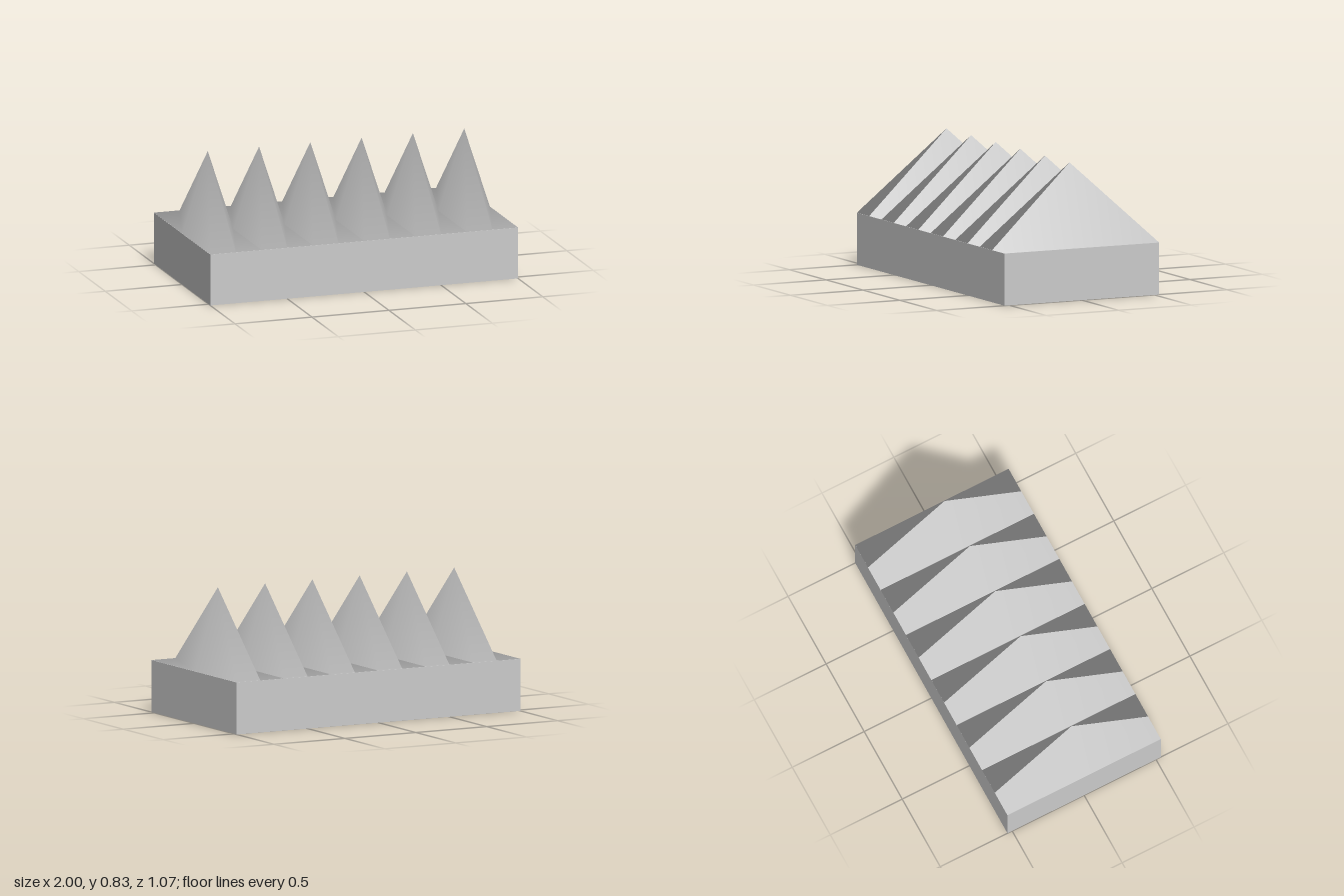
import * as THREE from 'three';

const TEETH = 6;
const BASE_H = 0.323, DEPTH = 1.066, PEAK = 0.51;
const HALF_W = 1 / TEETH, HALF_D = DEPTH / 2;

// One slope of a tooth: a straight foot and a ridge that rises to a peak,
// joined by strips whose diagonals all lean the same way
function toothSlope() {
  const points = [];
  for (const z of [HALF_D, 0, -HALF_D]) {
    points.push([HALF_W, 0, z]);            // foot
    points.push([0, z === 0 ? PEAK : 0, z]); // ridge
  }
  const index = [];
  for (let i = 0; i < 4; i += 2) index.push(i, i + 2, i + 1, i + 1, i + 2, i + 3);

  // Soft shading that turns gently along the slope
  const normals = points.map(([, , z]) =>
    new THREE.Vector3(PEAK, HALF_W * 1.5, z * 0.25).normalize().toArray());

  const geometry = new THREE.BufferGeometry();
  geometry.setAttribute('position', new THREE.Float32BufferAttribute(points.flat(), 3));
  geometry.setAttribute('normal', new THREE.Float32BufferAttribute(normals.flat(), 3));
  geometry.setIndex(index);
  return geometry;
}

export function createModel() {
  const model = new THREE.Group();
  model.name = 'toothedBlock';
  const material = new THREE.MeshStandardMaterial({ color: 0xcccccc });

  // Solid base slab
  const base = new THREE.Mesh(new THREE.BoxGeometry(2, BASE_H, DEPTH), material);
  base.name = 'base';
  base.position.y = BASE_H / 2;
  model.add(base);

  // Row of teeth, a hair above the slab; the right slope is the left one turned half round
  const slope = toothSlope();
  for (let i = 0; i < TEETH; i++) {
    const tooth = new THREE.Group();
    tooth.name = `tooth${i + 1}`;
    tooth.position.set(-1 + HALF_W * (2 * i + 1), BASE_H + 0.001, 0);
    for (const [name, turn] of [['leftSlope', 0], ['rightSlope', Math.PI]]) {
      const half = new THREE.Mesh(slope, material);
      half.name = name;
      half.rotation.y = turn;
      tooth.add(half);
    }
    model.add(tooth);
  }
  return model;
}
